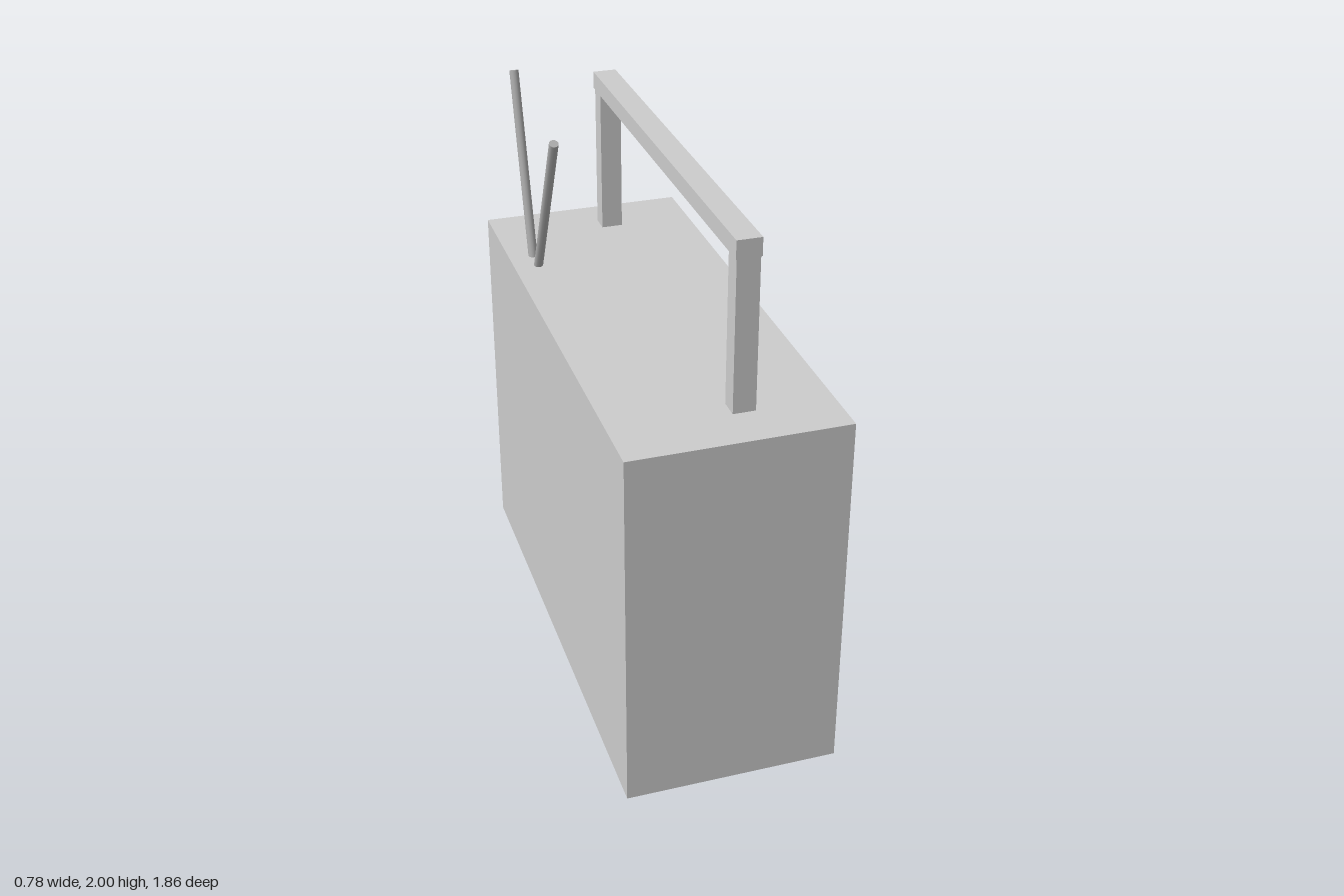
import * as THREE from 'three';

const material = (color) => new THREE.MeshStandardMaterial({ color });

export function createModel() {
  const root = new THREE.Group();
  const grey = material(0xcccccc);
  const dark = material(0xacacac);
  const light = material(0xd8d8d8);

  const add = (name, geometry, mat) => {
    const mesh = new THREE.Mesh(geometry, mat);
    mesh.name = name;
    root.add(mesh);
    return mesh;
  };

  // Box given by its extents on each axis
  const box = (name, [x0, x1], [y0, y1], [z0, z1], mat) =>
    add(name, new THREE.BoxGeometry(x1 - x0, y1 - y0, z1 - z0), mat)
      .position.set((x0 + x1) / 2, (y0 + y1) / 2, (z0 + z1) / 2);

  // Disc on the +x face, standing proud up to x = front
  const back = 0.34;
  const disc = (name, y, z, radius, front, sides) => {
    const geometry = new THREE.CylinderGeometry(radius, radius, front - back, sides);
    geometry.rotateY(Math.PI / 2).rotateZ(-Math.PI / 2);
    add(name, geometry, light).position.set((front + back) / 2, y, z);
  };

  // Round rod between two points
  const rod = (name, from, to, radius) => {
    const dir = to.clone().sub(from);
    const mesh = add(name, new THREE.CylinderGeometry(radius, radius, dir.length(), 12), dark);
    mesh.position.copy(from).add(to).multiplyScalar(0.5);
    mesh.quaternion.setFromUnitVectors(new THREE.Vector3(0, 1, 0), dir.normalize());
  };

  // Case and its raised panels
  box('case', [-0.395, 0.358], [0, 1.34], [-0.93, 0.93], grey);
  box('speakerPanel', [back, 0.367], [0.23, 1.055], [-0.345, 0.73], dark);
  box('tuningPanel', [back, 0.38], [0.29, 0.79], [-0.81, -0.5], dark);

  // Speakers and knobs
  for (const z of [0.455, -0.09]) disc('speaker', 0.648, z, 0.225, 0.389, 14);
  disc('largeKnob', 0.957, -0.593, 0.075, 0.376, 20);
  disc('smallKnob', 0.951, -0.76, 0.042, 0.376, 20);

  // Carrying handle
  for (const z of [0.69, -0.8]) box('handleLeg', [0.012, 0.09], [1.33, 1.88], [z, z + 0.07], grey);
  box('handleBar', [0.009, 0.094], [1.875, 1.938], [-0.81, 0.762], grey);

  // Pair of antennas in a V
  const point = (y, z) => new THREE.Vector3(-0.305, y, z);
  rod('frontAntenna', point(1.32, -0.487), point(1.925, -0.183), 0.017);
  rod('rearAntenna', point(1.32, -0.557), point(1.995, -0.754), 0.017);

  return root;
}
